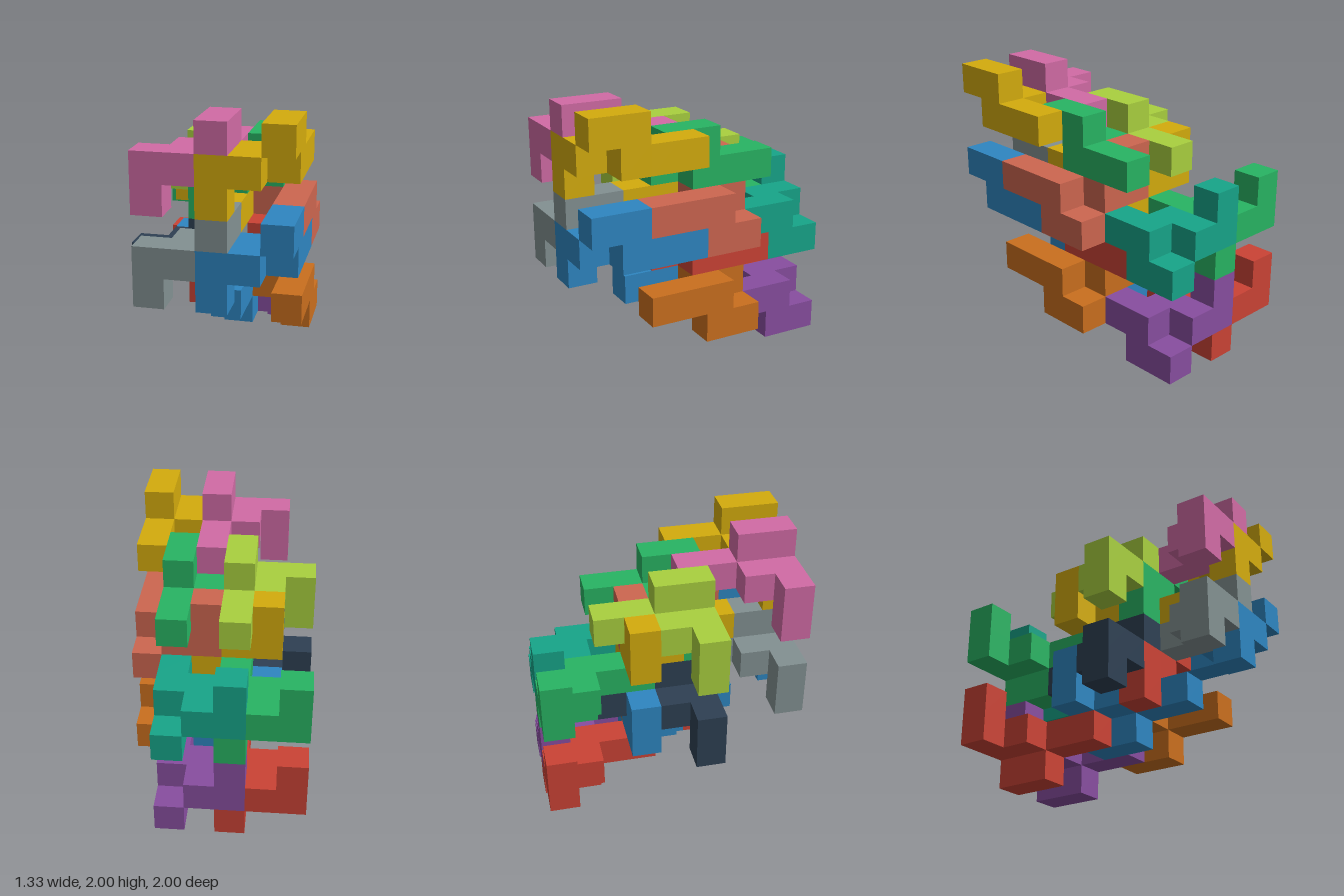
import * as THREE from 'three';
import { mergeGeometries } from 'three/addons/utils/BufferGeometryUtils.js';

const S = 2 / 9; // edge of one cube cell

// The nine cells of the interlocking piece, relative to its joint cell
const CELLS = [
  [0, 0, 0], [0, 0, -1], [0, 0, -2], // long arm
  [0, 1, 0], [0, 1, 1], // raised step
  [-1, 0, 0], [-1, 0, 1], [-2, 0, 1], [-2, -1, 1], // side hook
];

// Outer skin of the piece: one square wherever a cell has no neighbour
function pieceGeometry() {
  const filled = new Set(CELLS.map(String));
  const faces = [];
  const forward = new THREE.Vector3(0, 0, 1);
  for (const cell of CELLS) {
    for (let axis = 0; axis < 3; axis++) {
      for (const sign of [-1, 1]) {
        const dir = [0, 0, 0];
        dir[axis] = sign;
        if (filled.has(String(cell.map((v, i) => v + dir[i])))) continue;
        const normal = new THREE.Vector3(...dir);
        const face = new THREE.PlaneGeometry(S, S);
        face.applyQuaternion(new THREE.Quaternion().setFromUnitVectors(forward, normal));
        const p = new THREE.Vector3(...cell).addScaledVector(normal, 0.5).multiplyScalar(S);
        faces.push(face.translate(p.x, p.y, p.z));
      }
    }
  }
  return mergeGeometries(faces);
}

const COLORS = {
  yellow: 0xd4ac0d, pink: 0xd16ba5, blue: 0x2e86c1, grey: 0x839192,
  green: 0x28b463, lime: 0xa9d03f, red: 0xcb4335, navy: 0x2e4053,
  salmon: 0xcd6650, teal: 0x17a589, orange: 0xca6f1e, purple: 0x884ea0,
};

// Colour and joint cell [x, y, z] of each piece
const UPRIGHT = [
  ['yellow', 5, 7, 7], ['pink', 3, 7, 7], ['blue', 5, 4, 7], ['grey', 3, 4, 7],
  ['green', 4, 6, 4], ['lime', 2, 6, 4], ['red', 4, 3, 4], ['navy', 2, 3, 4],
];
const TURNED = [
  ['salmon', 5, 5, 4], ['yellow', 3, 5, 4], ['orange', 5, 2, 4], ['blue', 3, 2, 4],
  ['teal', 4, 4, 1], ['green', 2, 4, 1], ['purple', 4, 1, 1], ['red', 2, 1, 1],
];

export function createModel() {
  const model = new THREE.Group();
  model.name = 'interlockingPieces';
  const upright = pieceGeometry();
  const turned = upright.clone().rotateX(Math.PI); // half turn about x

  const place = (list, geometry, kind) => {
    for (const [color, x, y, z] of list) {
      const piece = new THREE.Mesh(geometry, new THREE.MeshStandardMaterial({ color: COLORS[color] }));
      piece.name = `${color}${kind}Piece`;
      piece.position.set((x - 2.5) * S, (y + 0.5) * S, (z - 4) * S);
      model.add(piece);
    }
  };
  place(UPRIGHT, upright, 'Upright');
  place(TURNED, turned, 'Turned');
  return model;
}
